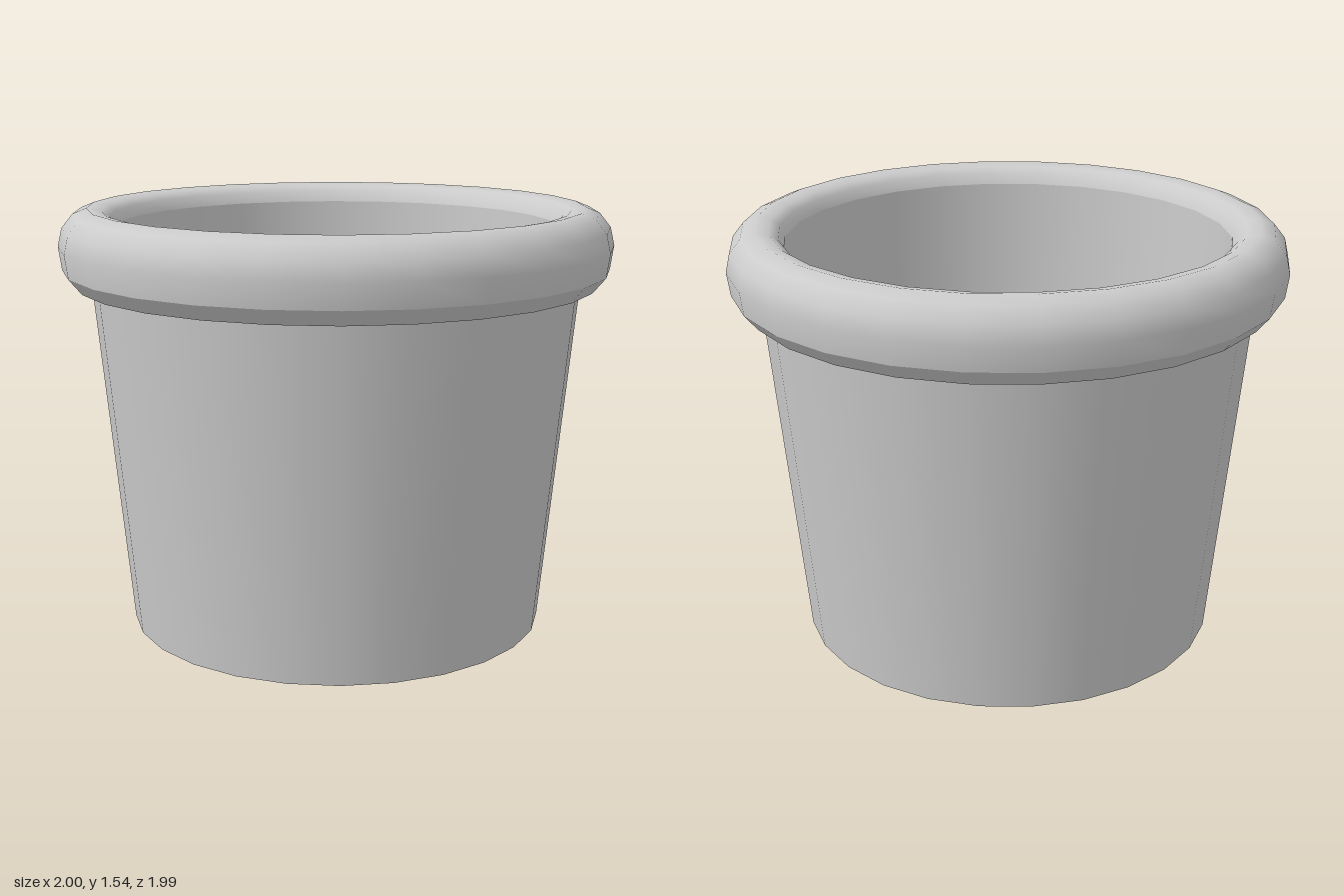
import * as THREE from 'three';

const SIDES = 26;

export function createModel() {
  const pot = new THREE.Group();
  pot.name = 'flowerPot';
  const material = new THREE.MeshStandardMaterial({ color: 0xcccccc, side: THREE.DoubleSide });

  // Revolves [radius, height] pairs; each part is smooth, with a crease where parts meet.
  function revolve(name, profile) {
    const points = profile.map(([r, y]) => new THREE.Vector2(r, y));
    const mesh = new THREE.Mesh(new THREE.LatheGeometry(points, SIDES, Math.PI / 2), material);
    mesh.name = name;
    pot.add(mesh);
  }

  // Tapered body with a flat base
  revolve('base', [[0, 0], [0.765, 0]]);
  revolve('outerWall', [[0.765, 0], [0.885, 1.265]]);

  // Rolled rim: flat underside, chamfer, then a rounded lip
  revolve('rimUnderside', [[0.885, 1.265], [0.942, 1.265]]);
  revolve('rimChamfer', [[0.942, 1.265], [0.988, 1.32]]);
  revolve('rimLip', [
    [0.988, 1.32], [1.0, 1.405], [0.985, 1.47], [0.945, 1.52], [0.895, 1.54],
    [0.845, 1.53], [0.815, 1.51], [0.798, 1.47],
  ]);

  // Hollow inside
  revolve('innerWall', [[0.798, 1.47], [0.764, 0.02]]);
  revolve('innerFloor', [[0.764, 0.02], [0, 0.02]]);

  return pot;
}
